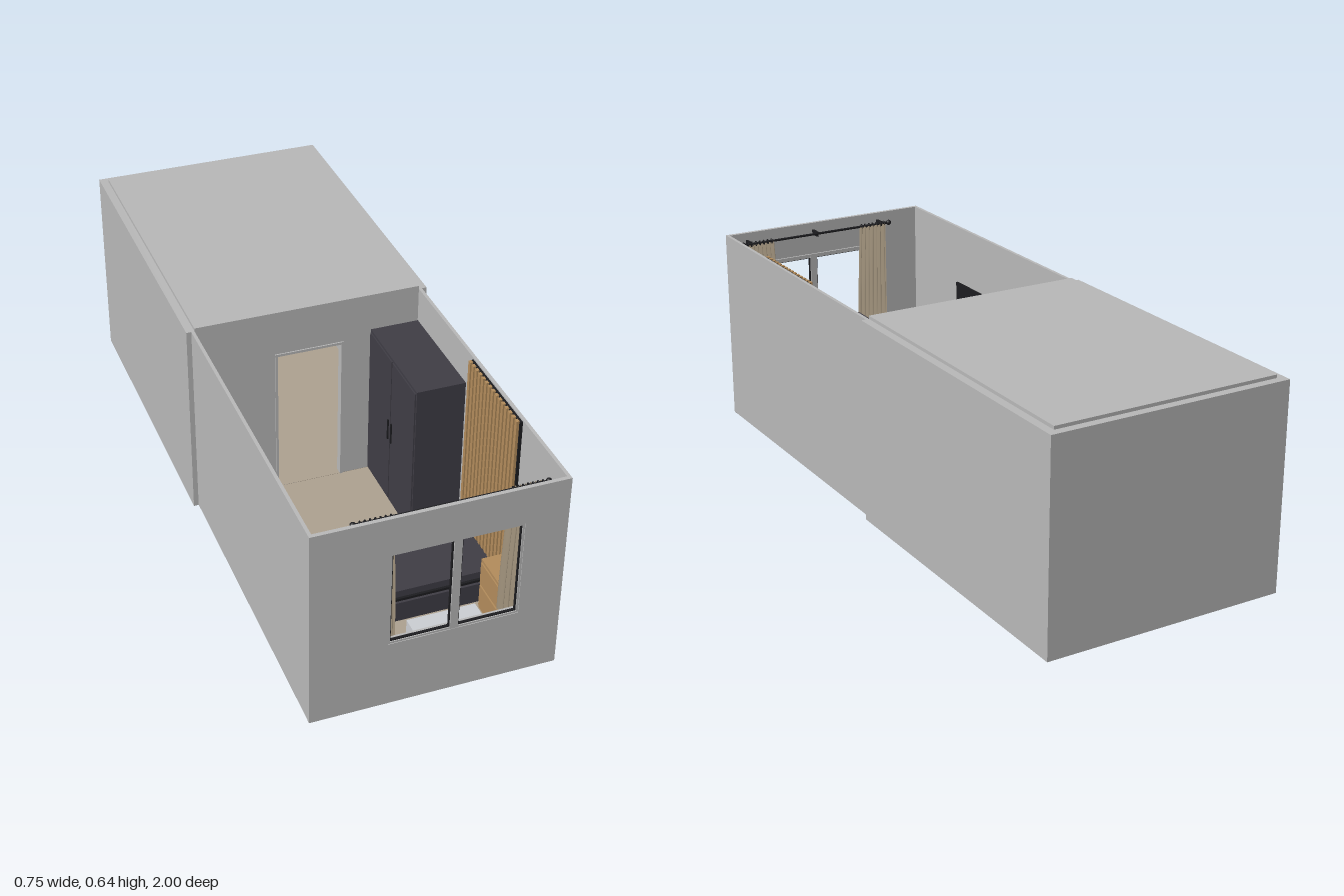
import * as THREE from 'three';

const mat = (name, color) => {
  const m = new THREE.MeshStandardMaterial({ color });
  m.name = name;
  return m;
};

export function createModel() {
  const wall = mat('wall grey', 0xb6b6b6);
  const beige = mat('beige floor', 0xab9f8e);
  const dark = mat('dark furniture', 0x3e3c44);
  const black = mat('black', 0x1c1c1f);
  const wood = mat('warm wood', 0xb08a5a);
  const pale = mat('pale metal', 0xc9ccd0);
  const cloth = mat('curtain cloth', 0x9f917b);
  cloth.side = THREE.DoubleSide;

  const model = new THREE.Group();
  const group = (name, parent = model) => {
    const g = new THREE.Group();
    g.name = name;
    parent.add(g);
    return g;
  };
  const add = (parent, name, geometry, material) => {
    const m = new THREE.Mesh(geometry, material);
    m.name = name;
    parent.add(m);
    return m;
  };
  // Box given by its minimum and maximum along each axis
  const box = (parent, name, material, x0, x1, y0, y1, z0, z1) => {
    const m = add(parent, name, new THREE.BoxGeometry(x1 - x0, y1 - y0, z1 - z0), material);
    m.position.set((x0 + x1) / 2, (y0 + y1) / 2, (z0 + z1) / 2);
    return m;
  };
  // Wall facing z with one rectangular opening
  const wallWithHole = (parent, name, w, h, [x0, x1, y0, y1], z0, z1) => {
    const s = new THREE.Shape([[-w, 0], [w, 0], [w, h], [-w, h]].map(p => new THREE.Vector2(...p)));
    s.holes.push(new THREE.Path([[x0, y0], [x0, y1], [x1, y1], [x1, y0]].map(p => new THREE.Vector2(...p))));
    const m = add(parent, name, new THREE.ExtrudeGeometry(s, { depth: z1 - z0, bevelEnabled: false }), wall);
    m.position.z = z0;
  };
  // Rectangular frame facing z, built from four bars
  const frame = (parent, name, material, x0, x1, y0, y1, z0, z1, t) => {
    box(parent, name, material, x0, x0 + t, y0, y1, z0, z1);
    box(parent, name, material, x1 - t, x1, y0, y1, z0, z1);
    box(parent, name, material, x0 + t, x1 - t, y0, y0 + t, z0, z1);
    box(parent, name, material, x0 + t, x1 - t, y1 - t, y1, z0, z1);
  };

  // Open bedroom shell
  const room = group('bedroom');
  box(room, 'bedroomFloor', beige, -0.357, 0.357, 0, 0.005, 0, 0.999);
  for (const s of [-1, 1]) {
    box(room, 'sideWall', wall, Math.min(s * 0.36, s * 0.35), Math.max(s * 0.36, s * 0.35), 0.001, 0.63, 0, 0.99);
  }
  wallWithHole(room, 'windowWall', 0.36, 0.63, [-0.145, 0.24, 0.205, 0.52], 0.988, 1);

  // Closed rear room with ceiling slab and doorway
  const rear = group('rearRoom');
  box(rear, 'rearFloor', beige, -0.35, 0.35, 0.001, 0.006, -0.975, 0);
  box(rear, 'rearWall', wall, -0.375, 0.375, 0, 0.63, -1, -0.975);
  box(rear, 'rearSideWall', wall, -0.375, -0.35, 0, 0.63, -0.975, 0);
  box(rear, 'rearSideWall', wall, 0.35, 0.375, 0, 0.63, -0.975, 0);
  box(rear, 'roofSlab', wall, -0.35, 0.35, 0.62, 0.64, -0.975, 0);
  wallWithHole(rear, 'doorWall', 0.35, 0.62, [-0.1, 0.105, 0.006, 0.488], -0.02, 0);

  // Door standing open into the rear room
  const door = group('door');
  for (const x of [-0.107, 0.103]) box(door, 'doorJamb', wall, x, x + 0.008, 0.006, 0.488, -0.022, 0.004);
  box(door, 'doorLintel', wall, -0.107, 0.111, 0.488, 0.496, -0.022, 0.004);
  box(door, 'doorLeaf', beige, -0.109, -0.1, 0.008, 0.486, -0.225, -0.022);
  box(door, 'doorHandle', black, -0.1, -0.088, 0.253, 0.258, -0.21, -0.205);
  box(door, 'doorHandle', black, -0.092, -0.088, 0.253, 0.258, -0.21, -0.18);

  // Window: outer frame, two sashes with dark seals, handle and sill
  const win = group('window');
  frame(win, 'windowFrame', wall, -0.147, 0.242, 0.204, 0.522, 0.982, 1, 0.007);
  for (const [x0, x1] of [[-0.14, 0.043], [0.054, 0.235]]) {
    frame(win, 'windowSash', wall, x0, x1, 0.211, 0.515, 0.984, 0.998, 0.006);
    frame(win, 'windowSeal', black, x0 + 0.005, x1 - 0.005, 0.216, 0.511, 0.987, 0.995, 0.004);
  }
  box(win, 'mullion', wall, 0.037, 0.06, 0.207, 0.52, 0.983, 0.999);
  box(win, 'windowHandle', black, 0.044, 0.05, 0.33, 0.37, 0.974, 0.983);
  box(win, 'windowSill', wall, -0.15, 0.245, 0.196, 0.205, 0.965, 0.99);
  box(win, 'radiator', pale, -0.05, 0.15, 0.04, 0.195, 0.91, 0.96);

  // Curtain rod with end knobs, brackets and rings
  const drapes = group('curtains');
  const rod = add(drapes, 'curtainRod', new THREE.CylinderGeometry(0.004, 0.004, 0.54, 12), black);
  rod.rotation.z = Math.PI / 2;
  rod.position.set(0.045, 0.6, 0.955);
  for (const x of [-0.227, 0.317]) {
    add(drapes, 'rodKnob', new THREE.SphereGeometry(0.009, 12, 8), black).position.set(x, 0.6, 0.955);
  }
  for (const x of [-0.2, 0.045, 0.29]) box(drapes, 'rodBracket', black, x - 0.004, x + 0.004, 0.59, 0.606, 0.955, 0.99);

  // Pleated curtains, gathered slightly toward the wall at the bottom
  const curtain = (outer, inner) => {
    const g = new THREE.PlaneGeometry(1, 0.41, 60, 12);
    const p = g.attributes.position;
    for (let i = 0; i < p.count; i++) {
      const t = p.getX(i) + 0.5;
      const y = p.getY(i) + 0.395;
      const drop = (0.6 - y) / 0.41;
      const x = outer + (inner - outer) * t * (0.88 + 0.12 * Math.sin(drop * Math.PI / 2));
      p.setXYZ(i, x, y, 0.955 + 0.012 * Math.sin(t * Math.PI * 14));
    }
    g.computeVertexNormals();
    add(drapes, 'curtain', g, cloth);
    for (let k = 0; k < 7; k++) {
      const ring = add(drapes, 'curtainRing', new THREE.TorusGeometry(0.007, 0.0015, 6, 12), black);
      ring.rotation.y = Math.PI / 2;
      ring.position.set(outer + (inner - outer) * 0.88 * (k + 0.5) / 7, 0.6, 0.955);
    }
  };
  curtain(-0.215, -0.102);
  curtain(0.308, 0.195);

  // Bed with raised rim and mattress
  const bed = group('bed');
  box(bed, 'bedBase', dark, -0.15, 0.335, 0.005, 0.07, 0.412, 0.708);
  box(bed, 'bedRim', black, -0.143, 0.318, 0.07, 0.078, 0.42, 0.7);
  box(bed, 'mattress', dark, -0.135, 0.308, 0.07, 0.1, 0.428, 0.692);

  // Slatted wall panel behind the bed
  const panel = group('slatPanel');
  box(panel, 'panelBacking', black, 0.341, 0.35, 0.005, 0.625, 0.4, 0.725);
  for (let i = 0; i < 15; i++) {
    const z = 0.403 + i * 0.0218;
    box(panel, 'slat', wood, 0.333, 0.342, 0.005, 0.627, z, z + 0.013);
  }

  // Wardrobe with two doors
  const wardrobe = group('wardrobe');
  box(wardrobe, 'wardrobeBody', dark, 0.198, 0.35, 0.005, 0.52, 0.001, 0.36);
  for (const z of [0.006, 0.183]) box(wardrobe, 'wardrobeDoor', dark, 0.194, 0.198, 0.015, 0.512, z, z + 0.172);
  for (const z of [0.165, 0.19]) box(wardrobe, 'wardrobeHandle', black, 0.19, 0.194, 0.23, 0.3, z, z + 0.005);

  // Desk with side panels
  const desk = group('desk');
  box(desk, 'deskTop', dark, -0.35, -0.21, 0.168, 0.18, 0.001, 0.287);
  for (const z of [0.001, 0.277]) box(desk, 'deskSide', dark, -0.35, -0.215, 0.005, 0.168, z, z + 0.01);
  box(desk, 'deskBack', dark, -0.35, -0.342, 0.06, 0.168, 0.011, 0.277);

  // Computer: tower, screen, keyboard and mouse
  const computer = group('computer');
  box(computer, 'tower', dark, -0.345, -0.25, 0.18, 0.28, 0.235, 0.28);
  box(computer, 'towerFront', black, -0.25, -0.247, 0.185, 0.275, 0.239, 0.276);
  box(computer, 'screen', black, -0.304, -0.297, 0.2, 0.287, 0.025, 0.18);
  box(computer, 'screenStem', black, -0.312, -0.304, 0.18, 0.245, 0.096, 0.108);
  box(computer, 'screenFoot', black, -0.325, -0.285, 0.18, 0.183, 0.075, 0.13);
  box(computer, 'keyboard', black, -0.252, -0.224, 0.18, 0.186, 0.04, 0.14);
  box(computer, 'mouse', black, -0.246, -0.23, 0.18, 0.187, 0.02, 0.03);

  // Wall television
  const tv = group('television');
  box(tv, 'televisionMount', black, -0.35, -0.345, 0.34, 0.4, 0.53, 0.6);
  box(tv, 'televisionScreen', black, -0.345, -0.338, 0.3, 0.441, 0.445, 0.682);

  // Wooden bedside cabinet
  const side = group('bedsideCabinet');
  box(side, 'cabinetBody', wood, 0.252, 0.35, 0.005, 0.183, 0.73, 0.922);
  for (const y of [0.02, 0.102]) box(side, 'drawerFront', wood, 0.248, 0.252, y, y + 0.072, 0.736, 0.916);

  // Angled corner cabinet with a small ornament
  const corner = group('cornerCabinet');
  box(corner, 'cornerBody', wood, -0.104, 0.104, 0.005, 0.18, -0.042, 0.042);
  box(corner, 'ornamentBase', black, -0.028, 0.028, 0.18, 0.186, -0.011, 0.011);
  const knob = add(corner, 'ornament', new THREE.SphereGeometry(0.013, 12, 8), black);
  knob.position.set(0, 0.196, 0);
  corner.position.set(-0.235, 0, 0.872);
  corner.rotation.y = -0.77;

  return model;
}
